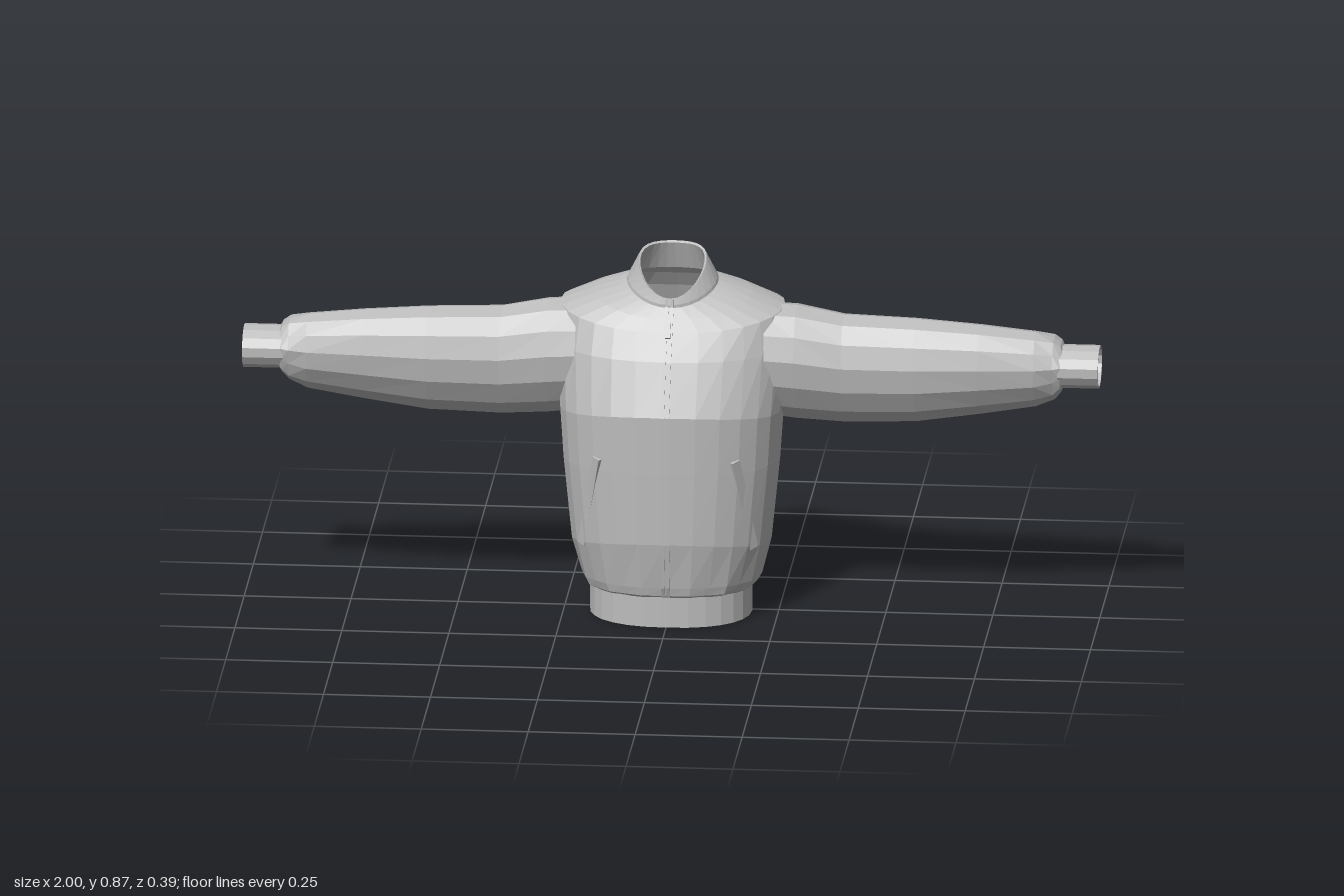
import * as THREE from 'three';

const cloth = new THREE.MeshStandardMaterial({ color: 0xbcbcbc, flatShading: true, side: THREE.DoubleSide });
cloth.name = 'grey cloth';

function part(name, geometry) {
  const m = new THREE.Mesh(geometry, cloth);
  m.name = name;
  return m;
}

// Skin a list of closed rings, each an array of Vector3
function loft(rings) {
  const n = rings[0].length, index = [];
  for (let r = 0; r < rings.length - 1; r++) {
    for (let i = 0; i < n; i++) {
      const j = (i + 1) % n, a = r * n + i, b = r * n + j;
      index.push(a, b, b + n, a, b + n, a + n);
    }
  }
  const g = new THREE.BufferGeometry().setFromPoints(rings.flat());
  g.setIndex(index);
  g.computeVertexNormals();
  return g;
}

const spow = (v, e) => Math.sign(v) * Math.abs(v) ** e;

// Ring around the torso: heights at front, side, back; half width; depth limits; gather amount
function torsoRing([yF, yS, yB, w, zF, zB, gather = 0, power = 2.3], n = 28) {
  return Array.from({ length: n }, (_, i) => {
    const t = (i / n) * Math.PI * 2, s = Math.sin(t), c = Math.cos(t);
    const k = 1 + (i % 2 ? gather : -gather);
    const y = yS + ((yF - yB) / 2) * c + ((yF + yB) / 2 - yS) * c * c;
    return new THREE.Vector3(
      w * spow(s, 2 / power) * k, y,
      (zF + zB) / 2 + ((zF - zB) / 2) * spow(c, 2 / power) * k);
  });
}

// Ring around the arm: x, top, bottom, front, back, gather amount, lean
function armRing([x, top, bottom, zF, zB, gather = 0, lean = 0.02], n = 14) {
  return Array.from({ length: n }, (_, i) => {
    const t = (i / n) * Math.PI * 2, c = Math.cos(t), k = 1 + (i % 2 ? gather : -gather);
    return new THREE.Vector3(
      x, (top + bottom) / 2 + ((top - bottom) / 2) * c * k,
      (zF + zB) / 2 + ((zF - zB) / 2) * Math.sin(t) * k + lean * c);
  });
}

// Thin bar between two points, its face turned to the given normal
function bar(name, from, to, normal, width, depth) {
  const up = to.clone().sub(from), length = up.length();
  up.normalize();
  const side = up.clone().cross(normal).normalize();
  const m = part(name, new THREE.BoxGeometry(width, length, depth));
  m.quaternion.setFromRotationMatrix(
    new THREE.Matrix4().makeBasis(side, up, side.clone().cross(up)));
  m.position.copy(from).add(to).multiplyScalar(0.5);
  return m;
}

export function createModel() {
  const jacket = new THREE.Group();
  jacket.name = 'jacket';

  // Torso from the gathered waist up over the shoulders to the neck
  jacket.add(part('body', loft([
    [0.07, 0.07, 0.07, 0.188, 0.16, -0.132],
    [0.078, 0.076, 0.076, 0.2, 0.168, -0.148, 0.012],
    [0.098, 0.094, 0.092, 0.21, 0.173, -0.16, 0.01],
    [0.21, 0.18, 0.2, 0.234, 0.193, -0.18],
    [0.38, 0.38, 0.4, 0.254, 0.195, -0.185],
    [0.52, 0.5, 0.54, 0.262, 0.195, -0.189],
    [0.64, 0.65, 0.665, 0.27, 0.143, -0.193],
    [0.7, 0.737, 0.735, 0.262, 0.105, -0.165],
    [0.728, 0.768, 0.772, 0.185, 0.086, -0.142],
    [0.752, 0.793, 0.797, 0.107, 0.066, -0.12, 0, 2],
  ].map(r => torsoRing(r)))));

  // Waistband with an inner face
  jacket.add(part('waistband', loft([
    [0.074, 0.074, 0.074, 0.18, 0.152, -0.124],
    [0, 0.003, 0.008, 0.182, 0.155, -0.126],
    [0, 0.003, 0.008, 0.19, 0.163, -0.134],
    [0.074, 0.074, 0.074, 0.19, 0.163, -0.134],
  ].map(r => torsoRing(r)))));

  // Stand collar, low at the front
  jacket.add(part('collar', loft([
    [0.75, 0.79, 0.794, 0.108, 0.068, -0.122, 0, 2],
    [0.757, 0.8, 0.803, 0.105, 0.068, -0.119, 0, 2],
    [0.772, 0.845, 0.865, 0.08, 0.064, -0.095, 0, 2],
    [0.77, 0.842, 0.861, 0.075, 0.058, -0.09, 0, 2],
    [0.75, 0.79, 0.794, 0.1, 0.06, -0.113, 0, 2],
  ].map(r => torsoRing(r)))));

  // Zip: two narrow tapes following the front profile as (z, y)
  const front = [[0.163, 0.002], [0.163, 0.074], [0.174, 0.1], [0.193, 0.21], [0.195, 0.38],
    [0.195, 0.52], [0.143, 0.64], [0.105, 0.7], [0.086, 0.728], [0.067, 0.753], [0.064, 0.771]];
  const tape = new THREE.Shape([
    ...front.map(([z, y]) => new THREE.Vector2(z + 0.004, y)),
    ...front.slice().reverse().map(([z, y]) => new THREE.Vector2(z - 0.004, y)),
  ]);
  for (const x of [-0.01, 0.002]) {
    const g = new THREE.ExtrudeGeometry(tape, { depth: 0.008, bevelEnabled: false });
    g.rotateY(-Math.PI / 2);
    g.translate(x + 0.008, 0, 0);
    jacket.add(part('zipTape', g));
  }
  const outward = new THREE.Vector3(0, 0.5, 0.8);
  jacket.add(bar('zipPull', new THREE.Vector3(0, 0.692, 0.119),
    new THREE.Vector3(0, 0.728, 0.094), outward, 0.012, 0.008));

  // Sleeve, cuff and pocket welt for each side
  for (const side of [1, -1]) {
    const half = new THREE.Group();
    half.name = side > 0 ? 'leftSide' : 'rightSide';
    half.scale.x = side;

    half.add(part('sleeve', loft([
      [0.22, 0.74, 0.462, 0.085, -0.172],
      [0.29, 0.738, 0.453, 0.082, -0.168],
      [0.4, 0.718, 0.447, 0.073, -0.153],
      [0.57, 0.715, 0.455, 0.078, -0.138],
      [0.72, 0.706, 0.48, 0.076, -0.12],
      [0.85, 0.692, 0.505, 0.07, -0.106, 0, 0.015],
      [0.893, 0.682, 0.525, 0.062, -0.095, 0.03, 0.01],
      [0.91, 0.67, 0.55, 0.06, -0.075, 0.03, 0],
      [0.918, 0.656, 0.57, 0.055, -0.06, 0, 0],
    ].map(r => armRing(r)))));

    half.add(part('cuff', loft([
      [0.905, 0.662, 0.562, 0.061, -0.064, 0, 0],
      [1, 0.662, 0.562, 0.061, -0.064, 0, 0],
      [1, 0.657, 0.567, 0.056, -0.059, 0, 0],
      [0.905, 0.657, 0.567, 0.056, -0.059, 0, 0],
    ].map(r => armRing(r)))));

    half.add(bar('pocketWelt', new THREE.Vector3(0.198, 0.185, 0.11),
      new THREE.Vector3(0.16, 0.41, 0.162), new THREE.Vector3(0.65, 0, 0.75), 0.022, 0.014));
    jacket.add(half);
  }
  return jacket;
}
